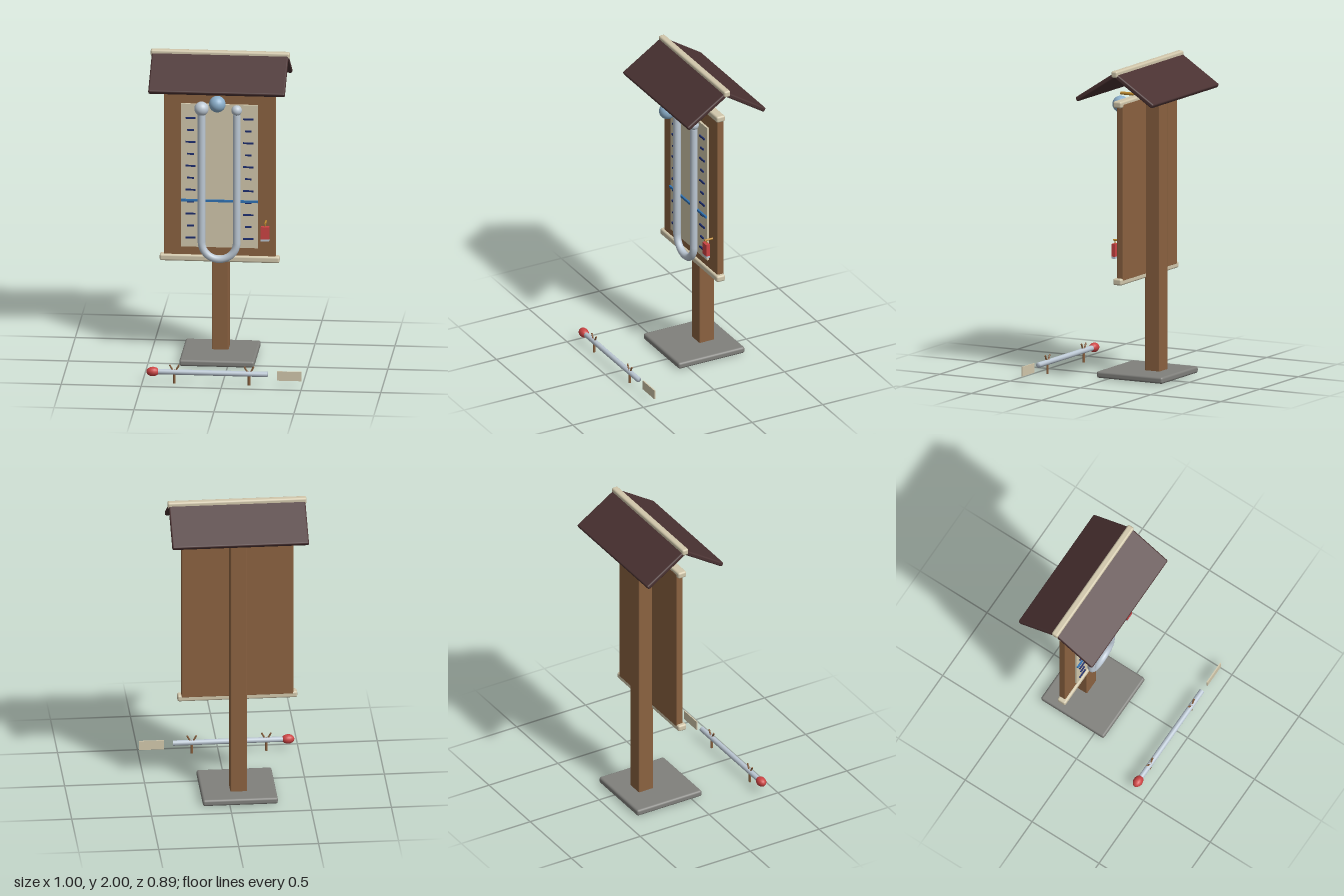
import * as THREE from 'three';
import { mergeVertices } from 'three/addons/utils/BufferGeometryUtils.js';
import { RoundedBoxGeometry } from 'three/addons/geometries/RoundedBoxGeometry.js';

const mat = (name, color) => {
  const m = new THREE.MeshStandardMaterial({ color });
  m.name = name;
  return m;
};

export function createModel() {
  const wood = mat('wood', 0x8b6240);
  const roofBrown = mat('roof brown', 0x4a3232);
  const cream = mat('cream', 0xd2c8ac);
  const stone = mat('stone grey', 0x80807c);
  const glass = mat('pale glass', 0xbcc8d4);
  const ballBlue = mat('ball blue', 0x8cb0cc);
  const lineBlue = mat('line blue', 0x2f72b4);
  const navy = mat('navy', 0x1c2c6c);
  const red = mat('red', 0xcc4444);
  const brass = mat('brass', 0xc08c30);

  const model = new THREE.Group();
  model.name = 'weatherStation';
  const CX = -0.065; // middle of the stand

  const add = (name, geometry, material, x, y, z, parent = model) => {
    const mesh = new THREE.Mesh(geometry, material);
    mesh.name = name;
    mesh.position.set(x, y, z);
    parent.add(mesh);
    return mesh;
  };
  const box = (w, h, d) => new THREE.BoxGeometry(w, h, d);
  const rounded = (w, h, d, r) => new RoundedBoxGeometry(w, h, d, 2, r);
  const cylinder = (r, h, sides = 12) => new THREE.CylinderGeometry(r, r, h, sides);
  // closed rod with normals blended over its ends
  const softRod = (r, h) => {
    const g = cylinder(r, h, 20);
    g.deleteAttribute('normal');
    g.deleteAttribute('uv');
    const merged = mergeVertices(g, 1e-5);
    merged.computeVertexNormals();
    return merged;
  };

  // Stand: slab, post, back board and its trims
  add('baseSlab', rounded(0.47, 0.042, 0.47, 0.014), stone, CX, 0.029, -0.165);
  add('post', rounded(0.105, 1.76, 0.105, 0.006), wood, CX, 0.92, -0.228);
  add('board', rounded(0.7, 1.12, 0.045, 0.006), wood, CX, 1.22, -0.163);
  for (const [name, y] of [['topTrim', 1.777], ['bottomTrim', 0.655]])
    add(name, rounded(0.75, 0.042, 0.06, 0.012), cream, CX, y, -0.155);
  add('scalePlate', box(0.48, 0.93, 0.014), cream, CX, 1.195, -0.134);

  // Scale marks on both sides of the plate
  const scale = new THREE.Group();
  scale.name = 'scaleMarks';
  model.add(scale);
  for (let i = 0; i < 11; i++) {
    const length = i % 2 ? 0.042 : 0.064;
    for (const side of [-1, 1])
      add('scaleMark', box(length, 0.01, 0.009), navy, CX + side * 0.181, 1.57 - i * 0.078, -0.123, scale);
  }
  add('freezingLine', box(0.48, 0.014, 0.012), lineBlue, CX, 1.034, -0.122);

  // U-shaped tube with a bulb on each arm
  const TZ = -0.103, R = 0.11, bendY = 0.77;
  for (const side of [-1, 1])
    add('tubeArm', softRod(0.024, 0.83), glass, CX + side * R, bendY + 0.415, TZ);
  const bend = add('tubeBend', new THREE.TorusGeometry(R, 0.024, 14, 32, Math.PI), glass, CX, bendY, TZ);
  bend.rotation.z = Math.PI;
  add('largeBulb', new THREE.SphereGeometry(0.045, 24, 16), glass, CX - R, 1.638, TZ);
  add('smallBulb', new THREE.SphereGeometry(0.033, 24, 16), glass, CX + R, 1.632, TZ);

  // Hanging ball on a brass arm
  const arm = add('ballArm', cylinder(0.01, 0.15), brass, CX, 1.78, -0.052);
  arm.rotation.x = Math.PI / 2;
  add('hangingBall', new THREE.SphereGeometry(0.052, 24, 16), ballBlue, CX, 1.71, 0.025);

  // Reset magnet on its peg
  const peg = add('magnetPeg', cylinder(0.006, 0.06), brass, 0.225, 0.905, -0.112);
  peg.rotation.x = Math.PI / 2;
  const cord = add('magnetCord', cylinder(0.003, 0.03, 8), brass, 0.225, 0.892, -0.095);
  cord.rotation.z = -0.15;
  add('magnetBody', box(0.052, 0.08, 0.026), red, 0.223, 0.842, -0.095);
  add('magnetTips', box(0.052, 0.013, 0.026), glass, 0.223, 0.7955, -0.095);

  // Gable roof with a ridge cap
  for (const side of [-1, 1]) {
    const slope = add('roofPanel', rounded(0.855, 0.03, 0.325, 0.01), roofBrown, -0.063, 1.885, -0.165 + side * 0.136);
    slope.rotation.x = side * 0.575;
  }
  add('ridgeCap', rounded(0.87, 0.042, 0.044, 0.012), cream, -0.063, 1.979, -0.167);

  // Ground thermometer resting on two forked stakes
  const GZ = 0.417, GY = 0.077;
  const rod = add('groundTube', softRod(0.017, 0.69), glass, -0.06, GY, GZ);
  rod.rotation.z = Math.PI / 2;
  const bulb = add('groundBulb', new THREE.SphereGeometry(0.03, 14, 10), red, -0.434, GY, GZ);
  bulb.rotation.z = Math.PI / 2;
  bulb.scale.y = 1.35;
  for (const x of [-0.299, 0.168]) {
    const stake = new THREE.Group();
    stake.name = 'forkedStake';
    stake.position.set(x, 0, GZ);
    model.add(stake);
    add('stakeStem', cylinder(0.008, 0.09, 8), wood, 0, 0.048, 0, stake);
    for (const side of [-1, 1]) {
      const prong = add('stakeProng', cylinder(0.0055, 0.055, 8), wood, side * 0.016, 0.099, 0, stake);
      prong.rotation.z = -side * 0.5;
    }
  }

  // Small marker plate
  add('markerPlate', box(0.155, 0.06, 0.008), cream, 0.42, 0.069, GZ);

  return model;
}
